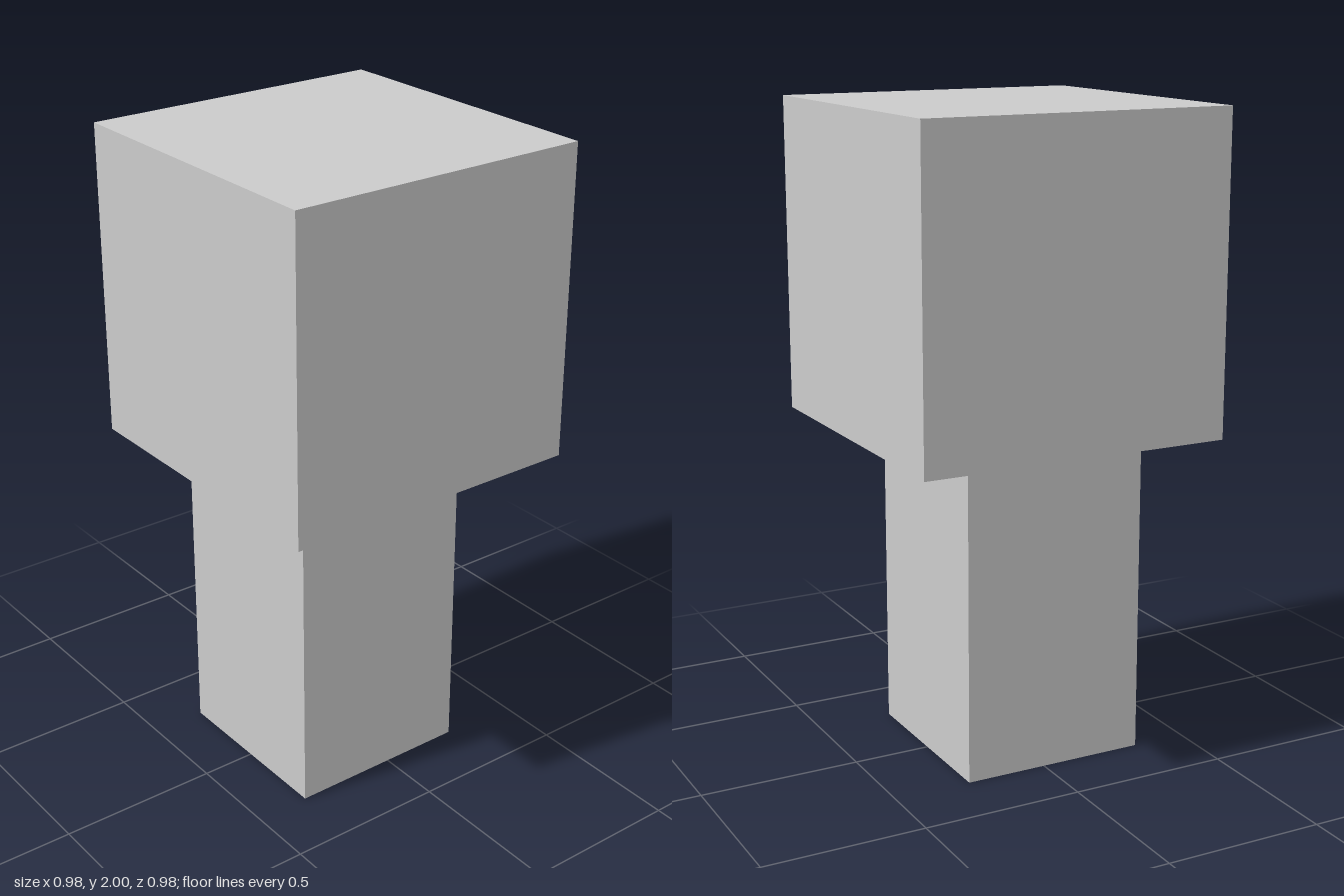
import * as THREE from 'three';

export function createModel() {
  const group = new THREE.Group();
  const material = new THREE.MeshStandardMaterial({ color: 0xcccccc, flatShading: true });

  // Square block standing on height y, shifted sideways by x
  const addBlock = (name, width, height, x, y) => {
    const mesh = new THREE.Mesh(new THREE.BoxGeometry(width, height, width), material);
    mesh.name = name;
    mesh.position.set(x, y + height / 2, 0);
    group.add(mesh);
  };

  // Slightly off-centre post carrying a cube
  addBlock('post', 0.586, 1.022, -0.036, 0);
  addBlock('topBlock', 0.978, 0.978, 0, 1.022);

  return group;
}
